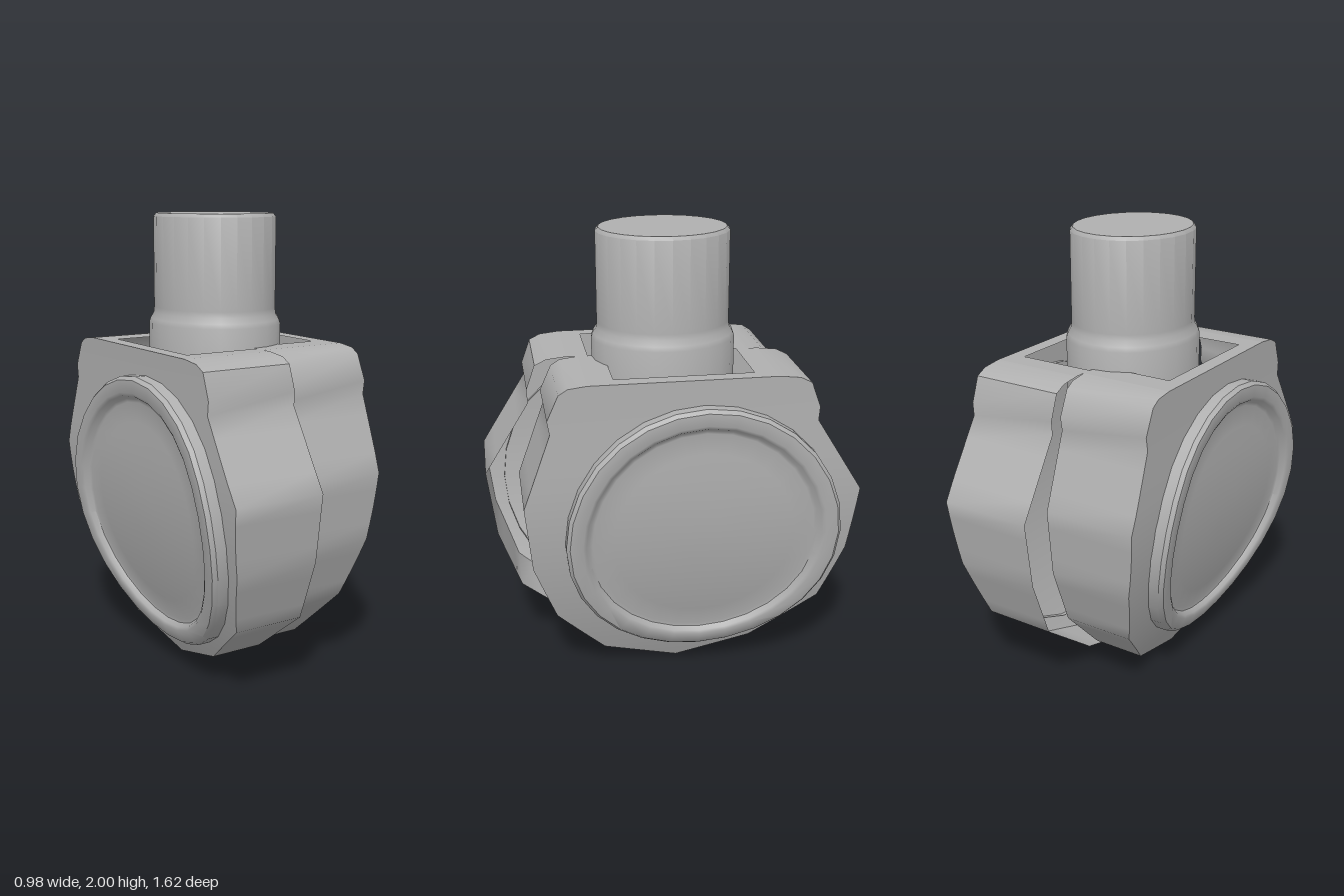
import * as THREE from 'three';
import { toCreasedNormals } from 'three/addons/utils/BufferGeometryUtils.js';

// Outer wall: straight at the top, curving inward toward the ground
const wallX = (y) => 0.425 - (y < 1 ? 0.225 * (1 - y) ** 2 : 0.005 * Math.min(1, (y - 1) / 0.3));

// Housing outline as rows of [y, front z, back z]
const OUTLINE = [
  [0, -0.03, -0.03], [0.1, 0.31, -0.37], [0.33, 0.53, -0.67], [0.6, 0.63, -0.77],
  [0.9, 0.66, -0.81], [1.23, 0.54, -0.605], [1.29, 0.55, -0.61], [1.4, 0.5, -0.57],
  [1.425, 0.46, -0.52], [1.435, 0.38, -0.43],
];

// Subdivide the rows so that the wall bends smoothly
function fineRows() {
  const rows = [OUTLINE[0]];
  for (let i = 1; i < OUTLINE.length; i++) {
    const n = OUTLINE[i][0] < 1.24 ? 4 : 1;
    for (let k = 1; k <= n; k++) {
      rows.push(OUTLINE[i].map((v, j) => THREE.MathUtils.lerp(OUTLINE[i - 1][j], v, k / n)));
    }
  }
  return rows;
}

// Ruled surface between two point lists
function strip(a, b, crease) {
  const pos = [];
  for (let i = 0; i < a.length - 1; i++) {
    pos.push(...a[i], ...b[i], ...b[i + 1], ...a[i], ...b[i + 1], ...a[i + 1]);
  }
  const g = new THREE.BufferGeometry();
  g.setAttribute('position', new THREE.Float32BufferAttribute(pos, 3));
  return toCreasedNormals(g, crease);
}

// Round cover that follows the bend of the wall
function coverGeometry() {
  const profile = [
    [0.605, -0.02], [0.605, 0.05], [0.59, 0.067], [0.535, 0.067], [0.52, 0.058], [0.505, 0.035],
    [0.49, 0.03], [0.4, 0.03], [0.3, 0.03], [0.2, 0.03], [0.1, 0.03], [0, 0.03],
  ].map(([r, h]) => new THREE.Vector2(r, h));
  const g = new THREE.LatheGeometry(profile, 28);
  const p = g.attributes.position;
  for (let i = 0; i < p.count; i++) {
    const y = 0.72 + p.getZ(i);
    const z = -0.115 + p.getX(i);
    p.setXYZ(i, wallX(y) + p.getY(i), y, z);
  }
  return toCreasedNormals(g, 0.7);
}

// One open-sided wheel housing with its cover
function createHalf(mat) {
  const half = new THREE.Group();
  const add = (name, geo) => {
    const m = new THREE.Mesh(geo, mat);
    m.name = name;
    half.add(m);
  };
  const rows = fineRows();
  const front = rows.map(([y, f]) => [wallX(y), y, f]);
  const back = rows.map(([y, , b]) => [wallX(y), y, b]);
  add('sideWall', strip(front, back, 1));

  const inner = (pts) => pts.map(([, y, z]) => [0, y, z]);
  add('frontTread', strip(inner(front), front, 0.7));
  add('backTread', strip(back, inner(back), 0.7));

  // Top plate with a rectangular opening for the stem
  const top = new THREE.Shape();
  [[0, 0.38], [0.42, 0.38], [0.42, -0.43], [0, -0.43], [0, -0.335], [0.35, -0.335], [0.35, 0.265], [0, 0.265]]
    .forEach(([x, z], i) => (i ? top.lineTo(x, -z) : top.moveTo(x, -z)));
  const plate = new THREE.ShapeGeometry(top);
  plate.rotateX(-Math.PI / 2);
  plate.translate(0, 1.435, 0);
  add('topPlate', plate);

  add('wheelCover', coverGeometry());
  return half;
}

export function createModel() {
  const model = new THREE.Group();
  model.name = 'caster';
  const grey = new THREE.MeshStandardMaterial({ color: 0xb0b0b0, side: THREE.DoubleSide });
  grey.name = 'grey';

  // Two identical halves, turned half a revolution from each other
  ['leftHousing', 'rightHousing'].forEach((name, i) => {
    const half = createHalf(grey);
    half.name = name;
    half.rotation.y = i * Math.PI;
    model.add(half);
  });

  // Slightly oval stem with a wider collar
  const stemProfile = [
    [0, 1.2], [0.285, 1.2], [0.285, 1.52], [0.278, 1.54], [0.264, 1.565], [0.262, 1.59],
    [0.262, 1.985], [0.25, 2], [0, 2],
  ].map(([r, y]) => new THREE.Vector2(r, y));
  const stem = new THREE.Mesh(toCreasedNormals(new THREE.LatheGeometry(stemProfile, 24), 0.7), grey);
  stem.name = 'stem';
  stem.scale.z = 1.115;
  model.add(stem);
  return model;
}
